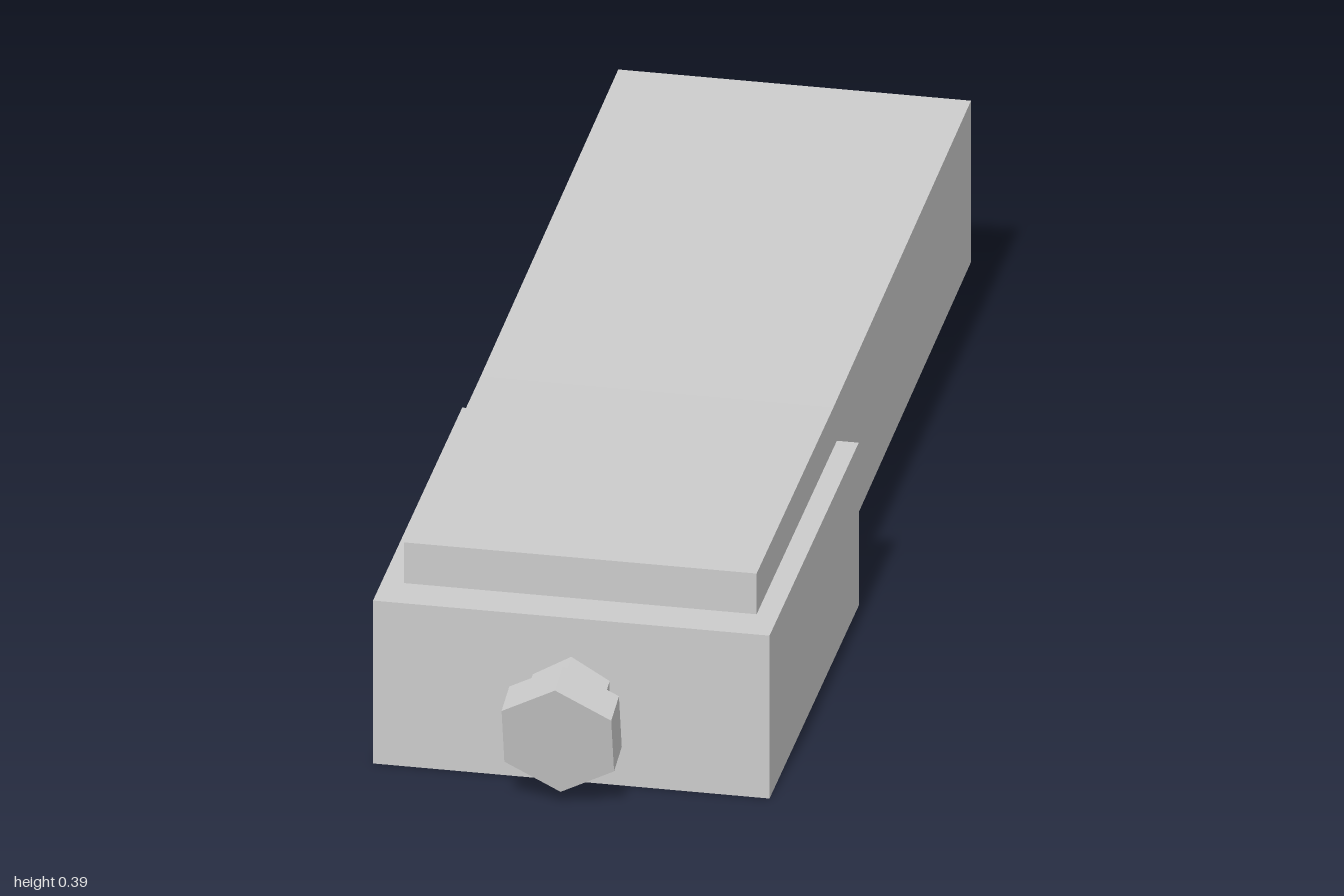
import * as THREE from 'three';

const material = new THREE.MeshStandardMaterial({ color: 0xcccccc, flatShading: true });

// Block with a sloped underside rim leading to a shallow pocket.
// rise lifts the block linearly from its front (z1) to its back (z0).
function pocketBlock(name, halfX, y0, y1, z0, z1, insetX, insetZ, rise = 0) {
  const lip = 0.037, pocket = 0.022;
  const rings = [[0, 0, y1], [0, 0, y0], [insetX, insetZ, y0 + lip], [insetX, insetZ, y0 + lip + pocket]];
  const pos = [], idx = [0, 1, 2, 0, 2, 3];
  for (const [ix, iz, y] of rings) {
    for (const [sx, back] of [[-1, true], [-1, false], [1, false], [1, true]]) {
      const z = back ? z0 + iz : z1 - iz;
      pos.push(sx * (halfX - ix), y + rise * (z1 - z) / (z1 - z0), z);
    }
  }
  for (let k = 0; k < rings.length - 1; k++) {
    for (let i = 0; i < 4; i++) {
      const a = k * 4 + i, b = k * 4 + (i + 1) % 4;
      idx.push(a, a + 4, b + 4, a, b + 4, b);
    }
  }
  const c = (rings.length - 1) * 4; // pocket ceiling
  idx.push(c, c + 2, c + 1, c, c + 3, c + 2);
  const indexed = new THREE.BufferGeometry();
  indexed.setAttribute('position', new THREE.Float32BufferAttribute(pos, 3));
  indexed.setIndex(idx);
  const geometry = indexed.toNonIndexed();
  geometry.computeVertexNormals();
  const mesh = new THREE.Mesh(geometry, material);
  mesh.name = name;
  return mesh;
}

// Hexagonal bolt: head centred at the origin, pointing along +y, shaft behind it.
function hexBolt(name, shaftLength) {
  const bolt = new THREE.Group();
  bolt.name = name;
  const head = new THREE.Mesh(new THREE.CylinderGeometry(0.107, 0.107, 0.066, 6), material);
  head.name = name + 'Head';
  const shaft = new THREE.Mesh(new THREE.CylinderGeometry(0.075, 0.075, shaftLength, 6), material);
  shaft.name = name + 'Shaft';
  shaft.position.y = -0.033 - shaftLength / 2;
  bolt.add(head, shaft);
  return bolt;
}

export function createModel() {
  const model = new THREE.Group();
  model.name = 'clampedBar';

  // Wide sleeve around the front of the bar
  model.add(pocketBlock('frontSleeve', 0.335, 0, 0.3, 0.12, 0.865, 0.185, 0.15));

  // Bar: level front section and slightly rising rear section
  const front = new THREE.Mesh(new THREE.BoxGeometry(0.596, 0.297, 0.64), material);
  front.name = 'barFront';
  front.position.set(0, 0.2265, 0.47);
  model.add(front);
  model.add(pocketBlock('barRear', 0.298, 0.078, 0.375, -1, 0.15, 0.15, 0.125, 0.017));

  // Front bolt, tilted a little downward
  const frontBolt = hexBolt('frontBolt', 0.14);
  frontBolt.position.set(0, 0.134, 0.945);
  frontBolt.rotation.x = Math.PI / 2 + 0.22;
  model.add(frontBolt);

  // Rear bolt under the bar, pointing down and slightly forward
  const rearBolt = hexBolt('rearBolt', 0.1);
  rearBolt.position.set(0, 0.08, -0.826);
  rearBolt.rotation.x = Math.PI - 0.2;
  model.add(rearBolt);

  return model;
}
